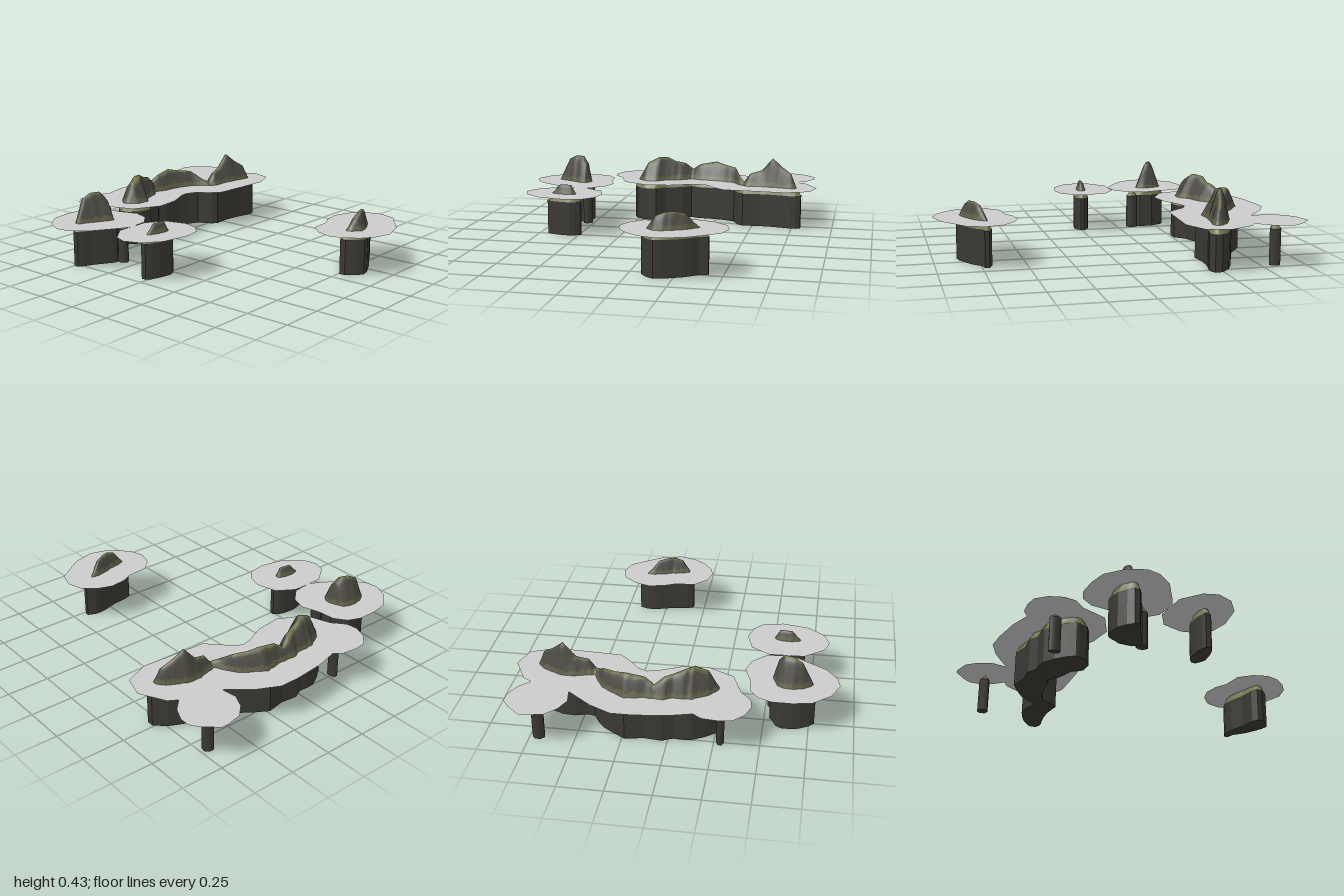
import * as THREE from 'three';

const BASE = 0.205, SHELF = 0.25;
const paint = (color, extra = {}) => new THREE.MeshStandardMaterial({ color, ...extra });
const wallMat = paint(0x3a3833);
const hillMats = [paint(0x70744c), paint(0x5d5d45), paint(0x4b4941)]; // grass, scrub, rock
const shelfMat = paint(0xcccccc, { side: THREE.DoubleSide });

// Shape on the ground plane from [x, z] pairs
const groundShape = (pts) => new THREE.Shape(pts.map(([x, z]) => new THREE.Vector2(x, -z)));

function mesh(name, geometry, material) {
  const m = new THREE.Mesh(geometry, material);
  m.name = name;
  return m;
}

// Thin flat shelf round an island
function shelf(name, pts) {
  const g = new THREE.ShapeGeometry(groundShape(pts)).rotateX(-Math.PI / 2);
  return mesh(name, g.translate(0, SHELF, 0), shelfMat);
}

// Height share across the hill, from foot (t = 1) to ridge (t = 0)
const PROFILE = [[0, 1], [0.15, 0.98], [0.3, 0.87], [0.5, 0.62], [0.7, 0.36], [0.87, 0.14], [1, 0]];
function rise(t) {
  for (let i = 1; i < PROFILE.length; i++) {
    const [a, fa] = PROFILE[i - 1], [b, fb] = PROFILE[i];
    if (t <= b) return fa + (fb - fa) * (t - a) / (b - a);
  }
  return 0;
}

// Fluted hill lofted over stations [x, zBack, zFront, ridgeHeight]
function hill(stations) {
  const rows = [], STEP = 4, N = 20;
  stations.forEach((s, i) => {
    const next = stations[i + 1];
    if (!next) return rows.push(s);
    for (let k = 0; k < STEP; k++) rows.push(s.map((v, c) => v + (next[c] - v) * k / STEP));
  });
  const pos = [];
  rows.forEach(([x, zb, zf, h]) => {
    for (let j = 0; j <= N; j++) {
      const u = 2 * j / N - 1, f = rise(Math.abs(u));
      const flute = 0.12 * f * (1 - f) * (Math.sin(x * 140) + Math.sin(x * 83 + u));
      pos.push(x, BASE + (h - BASE) * (f + flute), zb + (zf - zb) * j / N);
    }
  });
  // Sort the faces into grass, scrub and rock by steepness and height
  const bands = [[], [], []], W = N + 1;
  const point = (i) => new THREE.Vector3().fromArray(pos, i * 3);
  const add = (...tri) => {
    const [a, b, c] = tri.map(point);
    const up = b.clone().sub(a).cross(c.clone().sub(a)).normalize().y;
    const y = (a.y + b.y + c.y) / 3;
    const band = y < 0.245 || up > 0.75 ? 0 : y < 0.275 || up > 0.6 ? 1 : 2;
    bands[band].push(...tri);
  };
  for (let i = 0; i < rows.length - 1; i++) {
    for (let j = 0; j < N; j++) {
      const a = i * W + j;
      add(a, a + 1, a + W);
      add(a + 1, a + W + 1, a + W);
    }
  }
  const g = new THREE.BufferGeometry();
  g.setAttribute('position', new THREE.Float32BufferAttribute(pos, 3));
  g.setIndex(bands.flat());
  let start = 0;
  bands.forEach((b, k) => { g.addGroup(start, b.length, k); start += b.length; });
  g.computeVertexNormals();
  return mesh('hill', g, hillMats);
}

// Island: straight-sided column with a hill on top
function island(name, stations) {
  const outline = [
    ...stations.map(([x, , zf]) => [x, zf]),
    ...stations.map(([x, zb]) => [x, zb]).reverse(),
  ];
  const wall = new THREE.ExtrudeGeometry(groundShape(outline), { depth: BASE, bevelEnabled: false });
  const g = new THREE.Group();
  g.name = name;
  g.add(mesh('column', wall.rotateX(-Math.PI / 2), wallMat), hill(stations));
  return g;
}

// Small rock stack with a low pointed tip
function stack(name, x, z, rx, rz, tip) {
  const g = new THREE.Group();
  g.name = name;
  const column = new THREE.CylinderGeometry(1, 1, BASE, 7).translate(0, BASE / 2, 0);
  const cone = new THREE.ConeGeometry(1, tip, 7).translate(0, BASE + tip / 2, 0);
  g.add(mesh('column', column, wallMat), mesh('tip', cone, hillMats[0]));
  g.scale.set(rx, 1, rz);
  g.position.set(x, 0, z);
  return g;
}

export function createModel() {
  const model = new THREE.Group();
  model.name = 'islands';

  // Long main island
  model.add(island('mainIsland', [
    [-0.285, -0.62, -0.6, 0.205], [-0.26, -0.66, -0.545, 0.25], [-0.2, -0.71, -0.51, 0.36],
    [-0.13, -0.75, -0.51, 0.395], [-0.08, -0.755, -0.565, 0.39], [-0.03, -0.75, -0.58, 0.365],
    [0.03, -0.78, -0.6, 0.35], [0.08, -0.775, -0.645, 0.31], [0.13, -0.77, -0.62, 0.345],
    [0.235, -0.79, -0.61, 0.365], [0.3, -0.75, -0.595, 0.35], [0.37, -0.7, -0.565, 0.34],
    [0.41, -0.65, -0.48, 0.29], [0.44, -0.6, -0.455, 0.27], [0.48, -0.59, -0.46, 0.325],
    [0.55, -0.61, -0.465, 0.345], [0.62, -0.605, -0.46, 0.425], [0.68, -0.58, -0.45, 0.375],
    [0.74, -0.55, -0.435, 0.335], [0.775, -0.52, -0.435, 0.25], [0.805, -0.49, -0.45, 0.205],
  ]));
  model.add(shelf('mainShelf', [
    [-0.45, -0.76], [-0.42, -0.84], [-0.36, -0.9], [-0.29, -0.91], [-0.2, -0.9], [-0.15, -0.865],
    [-0.02, -0.9], [0.16, -0.92], [0.28, -0.92], [0.4, -0.86], [0.54, -0.75], [0.525, -0.84],
    [0.56, -0.92], [0.62, -0.98], [0.71, -1], [0.75, -1], [0.83, -0.93], [0.865, -0.88],
    [0.865, -0.82], [0.83, -0.74], [0.77, -0.68], [0.82, -0.65], [0.9, -0.5], [0.86, -0.37],
    [0.72, -0.31], [0.335, -0.33], [0.28, -0.38], [0.21, -0.46], [0.16, -0.48], [0.11, -0.47],
    [-0.02, -0.41], [-0.17, -0.39], [-0.325, -0.47], [-0.38, -0.62], [-0.44, -0.69],
  ]));

  // Domed island at the back right
  model.add(island('domedIsland', [
    [-0.78, -0.5, -0.47, 0.205], [-0.75, -0.53, -0.45, 0.28], [-0.7, -0.56, -0.43, 0.385],
    [-0.65, -0.57, -0.4, 0.41], [-0.6, -0.57, -0.37, 0.41], [-0.57, -0.55, -0.36, 0.37],
    [-0.545, -0.5, -0.38, 0.27], [-0.53, -0.48, -0.4, 0.205],
  ]));
  model.add(shelf('domedShelf', [
    [-0.91, -0.49], [-0.86, -0.595], [-0.765, -0.675], [-0.66, -0.695], [-0.55, -0.695],
    [-0.475, -0.665], [-0.425, -0.595], [-0.415, -0.49], [-0.38, -0.385], [-0.41, -0.29],
    [-0.49, -0.215], [-0.615, -0.2], [-0.67, -0.225], [-0.83, -0.325], [-0.895, -0.415],
  ]));

  // Small ridge island on the right
  model.add(island('ridgeIsland', [
    [-0.7, -0.04, -0.01, 0.205], [-0.67, -0.05, 0.01, 0.25], [-0.62, -0.06, 0.025, 0.305],
    [-0.55, -0.055, 0.035, 0.305], [-0.52, -0.045, 0.025, 0.25], [-0.49, -0.02, 0.005, 0.205],
  ]));
  model.add(shelf('ridgeShelf', [
    [-0.84, -0.035], [-0.81, -0.115], [-0.7, -0.2], [-0.5, -0.205], [-0.395, -0.14], [-0.36, -0.015],
    [-0.385, 0.08], [-0.445, 0.145], [-0.555, 0.165], [-0.71, 0.135], [-0.805, 0.06],
  ]));

  // Slanting island at the front
  model.add(island('frontIsland', [
    [0.07, 0.755, 0.79, 0.205], [0.11, 0.735, 0.84, 0.265], [0.15, 0.73, 0.865, 0.32],
    [0.2, 0.725, 0.855, 0.34], [0.25, 0.71, 0.83, 0.34], [0.3, 0.695, 0.805, 0.33],
    [0.34, 0.69, 0.775, 0.28], [0.37, 0.69, 0.745, 0.25], [0.42, 0.71, 0.735, 0.205],
  ]));
  model.add(shelf('frontShelf', [
    [-0.055, 0.76], [-0.025, 0.67], [0.045, 0.6], [0.17, 0.59], [0.24, 0.555], [0.335, 0.54],
    [0.425, 0.57], [0.505, 0.64], [0.53, 0.735], [0.5, 0.835], [0.425, 0.89], [0.33, 0.96],
    [0.19, 1], [0.09, 0.97], [0.02, 0.915], [-0.035, 0.84],
  ]));

  // Rock stacks hidden under the shelves
  model.add(stack('backLeftStack', 0.7, -0.83, 0.035, 0.032, 0.035));
  model.add(stack('backStack', -0.285, -0.745, 0.022, 0.035, 0.022));
  model.add(stack('domedStack', -0.54, -0.345, 0.03, 0.035, 0.04));
  return model;
}
